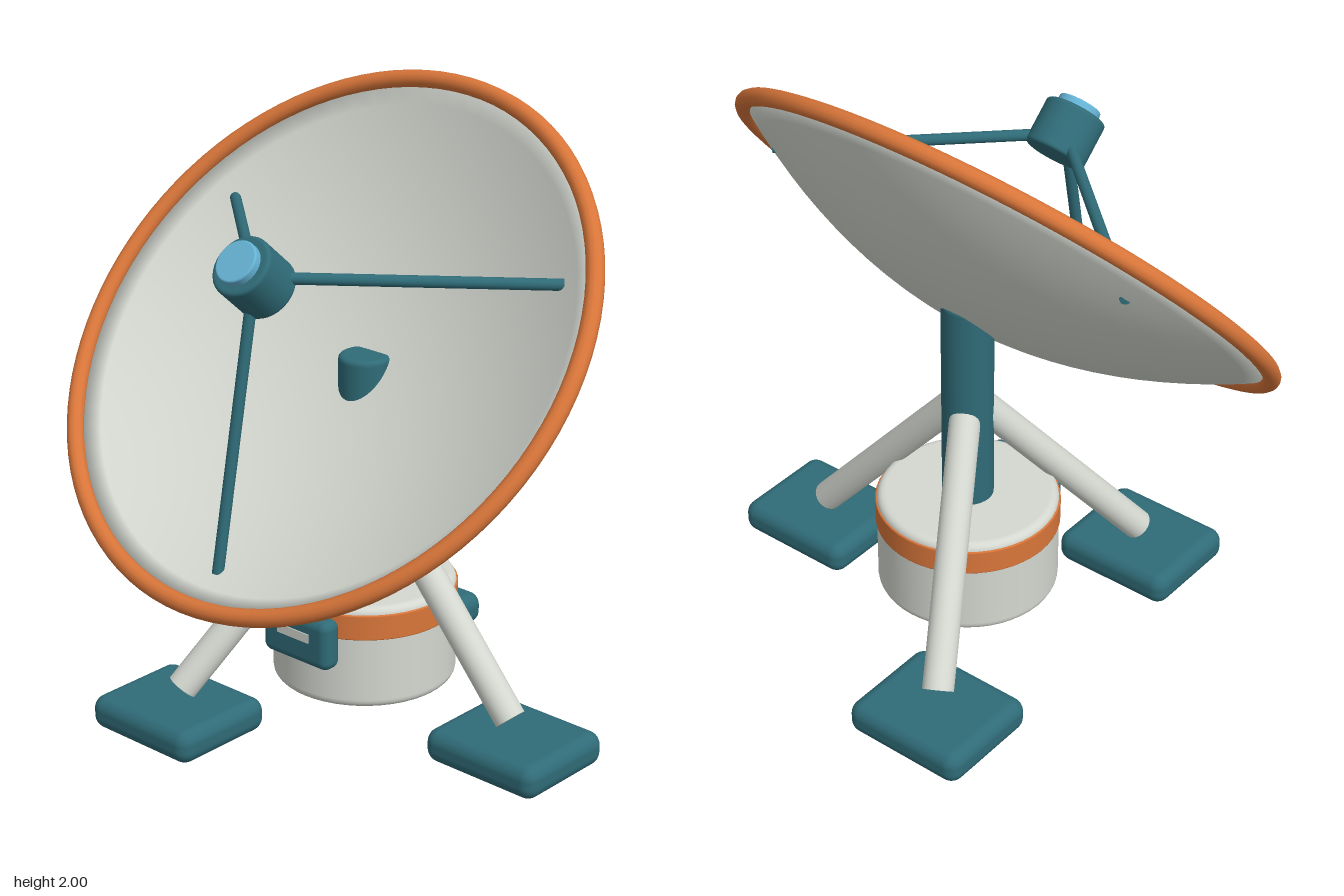
import * as THREE from 'three';
import { RoundedBoxGeometry } from 'three/addons/geometries/RoundedBoxGeometry.js';

const V = (x, y, z) => new THREE.Vector3(x, y, z);

export function createModel() {
  const model = new THREE.Group();
  model.name = 'satelliteDish';

  const material = (name, color) => {
    const m = new THREE.MeshStandardMaterial({ color });
    m.name = name;
    return m;
  };
  const paleGrey = material('paleGrey', 0xd4d8d0);
  const teal = material('teal', 0x2f6b77);
  const orange = material('orange', 0xd9763a);
  const skyBlue = material('skyBlue', 0x66b4d6);

  const add = (parent, name, geometry, mat, x = 0, y = 0, z = 0) => {
    const mesh = new THREE.Mesh(geometry, mat);
    mesh.name = name;
    mesh.position.set(x, y, z);
    parent.add(mesh);
    return mesh;
  };

  // Upright cylinder with rounded edges, from y0 to y1
  const roundedCylinder = (radius, y0, y1, bevel, segments = 48) => {
    const e = 0.004;
    const pts = [new THREE.Vector2(0, y0), new THREE.Vector2(radius - bevel - e, y0)];
    for (const [cy, start] of [[y0 + bevel, -Math.PI / 2], [y1 - bevel, 0]]) {
      if (start === 0) pts.push(new THREE.Vector2(radius, cy - e));
      for (let i = 0; i <= 5; i++) {
        const a = start + (i / 5) * Math.PI / 2;
        pts.push(new THREE.Vector2(radius - bevel + bevel * Math.cos(a), cy + bevel * Math.sin(a)));
      }
      if (start < 0) pts.push(new THREE.Vector2(radius, cy + e));
    }
    pts.push(new THREE.Vector2(radius - bevel - e, y1), new THREE.Vector2(0, y1));
    return new THREE.LatheGeometry(pts, segments);
  };

  // Straight rod between two points
  const rod = (parent, name, a, b, radius, mat) => {
    const dir = b.clone().sub(a);
    const mesh = add(parent, name, new THREE.CylinderGeometry(radius, radius, dir.length(), 24), mat);
    mesh.position.copy(a).add(b).multiplyScalar(0.5);
    mesh.quaternion.setFromUnitVectors(V(0, 1, 0), dir.normalize());
  };

  // Base: drum, coloured band, post and control box
  const base = new THREE.Group();
  base.name = 'base';
  base.position.z = -0.055;
  model.add(base);
  add(base, 'drum', roundedCylinder(0.293, 0.125, 0.468, 0.025), paleGrey);
  add(base, 'drumBand', roundedCylinder(0.298, 0.362, 0.446, 0.004), orange);
  add(base, 'post', roundedCylinder(0.083, 0.4, 1.2, 0.015, 32), teal);
  add(base, 'controlBox', new RoundedBoxGeometry(0.275, 0.166, 0.075, 4, 0.03), teal, 0, 0.348, 0.295);
  add(base, 'controlBoxLabel', new THREE.BoxGeometry(0.132, 0.03, 0.006), paleGrey, 0, 0.365, 0.333);

  // Three legs with padded feet, spaced evenly around the post
  for (let i = 0; i < 3; i++) {
    const a = (i * Math.PI * 2) / 3;
    const at = (r, y) => V(r * Math.cos(a), y, r * Math.sin(a));
    rod(base, 'leg', at(0.605, 0.148), at(0.04, 0.8), 0.05, paleGrey);
    const p = at(0.62, 0.06);
    add(base, 'foot', new RoundedBoxGeometry(0.43, 0.112, 0.37, 5, 0.045), teal, p.x, p.y, p.z);
  }

  // Dish assembly, built facing +y and then tilted forward
  const dish = new THREE.Group();
  dish.name = 'dish';
  dish.position.set(0, 1.3, 0.135);
  dish.rotation.x = 0.8395;
  model.add(dish);

  // Shell: outer parabola to the edge, then the inner parabola back to the axis
  const edge = 0.9, steps = 14, profile = [];
  for (let i = 0; i <= steps; i++) {
    const t = i / steps;
    profile.push(new THREE.Vector2(edge * t, -0.275 * (1 - t * t)));
  }
  for (let i = steps - 1; i >= 0; i--) {
    const t = i / steps;
    profile.push(new THREE.Vector2(edge * t, -0.238 * (1 - t * t)));
  }
  add(dish, 'reflector', new THREE.LatheGeometry(profile, 72), paleGrey);
  add(dish, 'rim', new THREE.TorusGeometry(0.909, 0.028, 12, 96), orange).rotation.x = Math.PI / 2;

  // Feed horn at the focus, held by three struts
  const focus = 0.393;
  add(dish, 'feedHorn', roundedCylinder(0.1, -0.078, 0.078, 0.012, 32), teal, 0, focus, 0);
  add(dish, 'feedCap', roundedCylinder(0.07, 0, 0.104, 0.006, 32), skyBlue, 0, focus, 0);
  for (let i = 0; i < 3; i++) {
    const a = Math.PI / 2 + (i * Math.PI * 2) / 3;
    rod(dish, 'feedStrut', V(0.775 * Math.cos(a), -0.07, 0.775 * Math.sin(a)), V(0, focus, 0), 0.018, teal);
  }

  return model;
}
